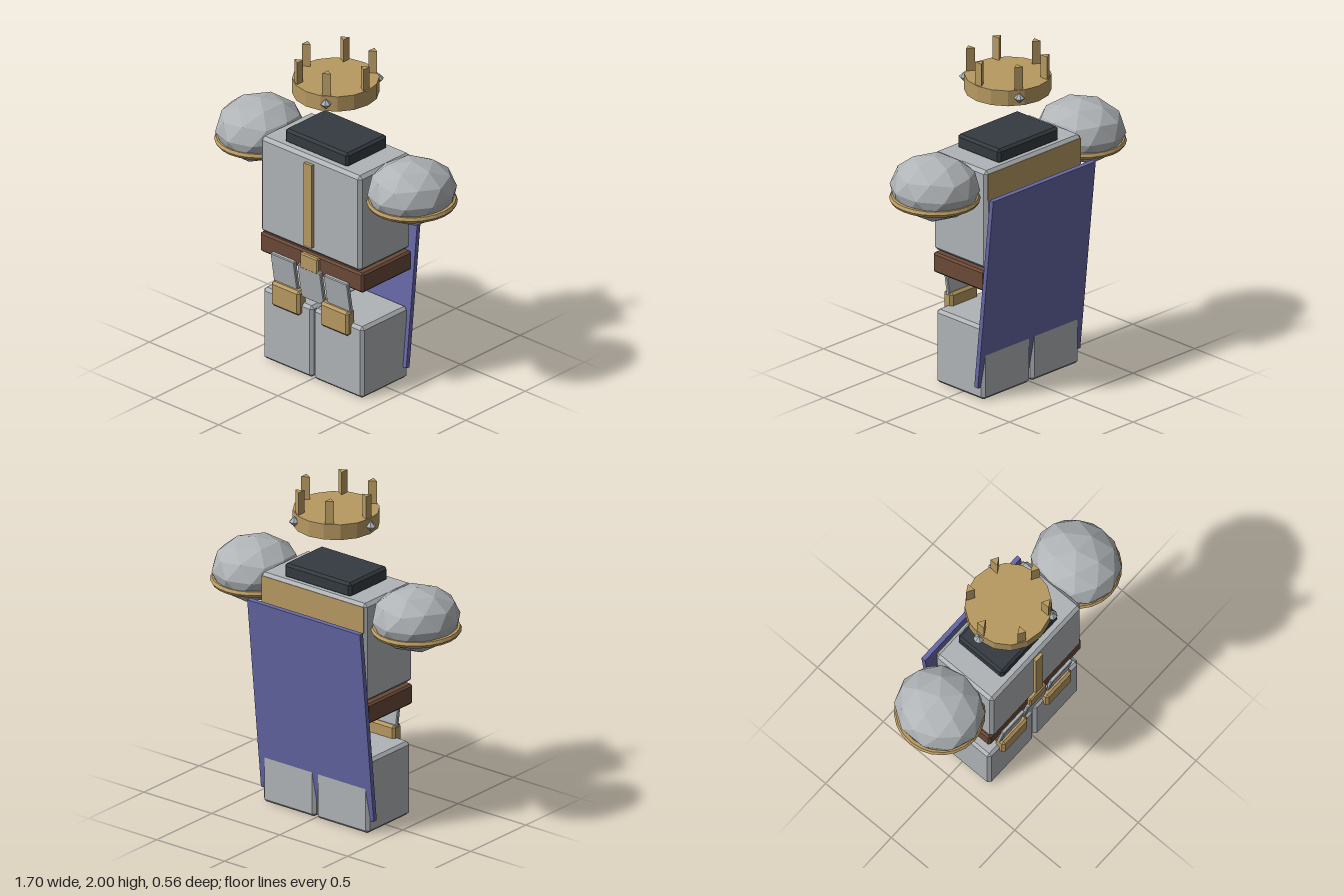
import * as THREE from 'three';
import { ConvexGeometry } from 'three/addons/geometries/ConvexGeometry.js';

const material = (name, color) => {
  const m = new THREE.MeshStandardMaterial({ color, flatShading: true });
  m.name = name;
  return m;
};

// Box between two corners with chamfered edges, centred on its own origin
function chamferBox(w, h, d, c) {
  const pts = [];
  for (const sx of [-1, 1]) for (const sy of [-1, 1]) for (const sz of [-1, 1]) {
    const x = w / 2, y = h / 2, z = d / 2;
    pts.push(
      new THREE.Vector3(sx * x, sy * (y - c), sz * (z - c)),
      new THREE.Vector3(sx * (x - c), sy * y, sz * (z - c)),
      new THREE.Vector3(sx * (x - c), sy * (y - c), sz * z));
  }
  return new ConvexGeometry(pts);
}

export function createModel() {
  const steel = material('steel', 0xb0b4b7);
  const gold = material('gold', 0xb89a62);
  const leather = material('leather', 0x6b4a38);
  const dark = material('darkCollar', 0x343b40);
  const cloth = material('capeCloth', 0x6567a6);
  const model = new THREE.Group();
  model.name = 'armour';

  const add = (name, geometry, mat, x = 0, y = 0, z = 0, parent = model) => {
    const mesh = new THREE.Mesh(geometry, mat);
    mesh.name = name;
    mesh.position.set(x, y, z);
    parent.add(mesh);
    return mesh;
  };
  // Part given by its extents on each axis
  const block = (name, mat, [x0, x1], [y0, y1], [z0, z1], c = 0) => {
    const s = [x1 - x0, y1 - y0, z1 - z0];
    const g = c ? chamferBox(...s, c) : new THREE.BoxGeometry(...s);
    return add(name, g, mat, (x0 + x1) / 2, (y0 + y1) / 2, (z0 + z1) / 2);
  };

  // Torso, collar and trims
  block('torso', steel, [-0.39, 0.39], [0.82, 1.43], [-0.203, 0.23], 0.02);
  block('collar', dark, [-0.245, 0.245], [1.42, 1.51], [-0.162, 0.18], 0.015);
  block('chestTrim', gold, [-0.03, 0.03], [0.86, 1.39], [0.2, 0.25]);
  block('backTrim', gold, [-0.375, 0.375], [1.25, 1.412], [-0.204, -0.18]);

  // Belt
  block('belt', leather, [-0.4, 0.4], [0.685, 0.81], [-0.195, 0.22], 0.012);
  block('buckle', gold, [-0.07, 0.07], [0.7, 0.8], [0.19, 0.243], 0.008);

  // Hanging skirt plates, leaning in towards the legs
  for (const [x, w] of [[-0.207, 0.185], [0, 0.18], [0.207, 0.185]]) {
    const plate = add('skirtPlate', chamferBox(w, 0.225, 0.025, 0.005), steel, x, 0.608, 0.212);
    plate.rotation.x = 0.16;
  }

  // Legs and knee pads
  for (const s of [-1, 1]) {
    add('leg', chamferBox(0.385, 0.455, 0.39, 0.018), steel, s * 0.1965, 0.2275, 0.015);
    add('kneePad', chamferBox(0.22, 0.155, 0.073, 0.015), gold, s * 0.19, 0.457, 0.203);
  }

  // Faceted shoulders with a rim; one pole of the icosahedron points up
  const dome = new THREE.IcosahedronGeometry(1, 1)
    .rotateZ(Math.atan2(2, 1 + Math.sqrt(5))).scale(0.25, 0.188, 0.27);
  const rim = new THREE.TorusGeometry(0.245, 0.02, 6, 24)
    .rotateX(Math.PI / 2).scale(0.975, 1, 1);
  for (const s of [-1, 1]) {
    const shoulder = new THREE.Group();
    shoulder.name = s > 0 ? 'leftShoulder' : 'rightShoulder';
    shoulder.position.set(s * 0.592, 1.338, 0.01);
    shoulder.rotation.y = s > 0 ? Math.PI : 0;
    add('dome', dome, steel, 0, 0, 0, shoulder);
    add('rim', rim, gold, 0, -0.068, 0, shoulder);
    model.add(shoulder);
  }

  // Cape slab, its lower end passing into the legs
  const cape = add('cape', new THREE.BoxGeometry(0.83, 1.205, 0.028), cloth, 0, 0.68, -0.208);
  cape.rotation.x = -0.104;

  // Floating crown
  const crown = new THREE.Group();
  crown.name = 'crown';
  crown.position.set(0, 0, 0.012);
  model.add(crown);
  add('band', new THREE.CylinderGeometry(0.25, 0.25, 0.095, 16), gold, 0, 1.8125, 0, crown);
  const prong = new THREE.CylinderGeometry(0.03, 0.03, 0.15, 3).rotateY(-Math.PI / 2);
  const gem = new THREE.SphereGeometry(0.032, 6, 2);
  for (let i = 0; i < 6; i++) {
    const a = i * Math.PI / 3;
    const p = add('prong', prong, gold, 0.225 * Math.cos(a), 1.925, 0.225 * Math.sin(a), crown);
    p.rotation.y = -a;
    if (i % 2) add('gem', gem, steel, 0.256 * Math.cos(a), 1.815, 0.256 * Math.sin(a), crown);
  }
  return model;
}
